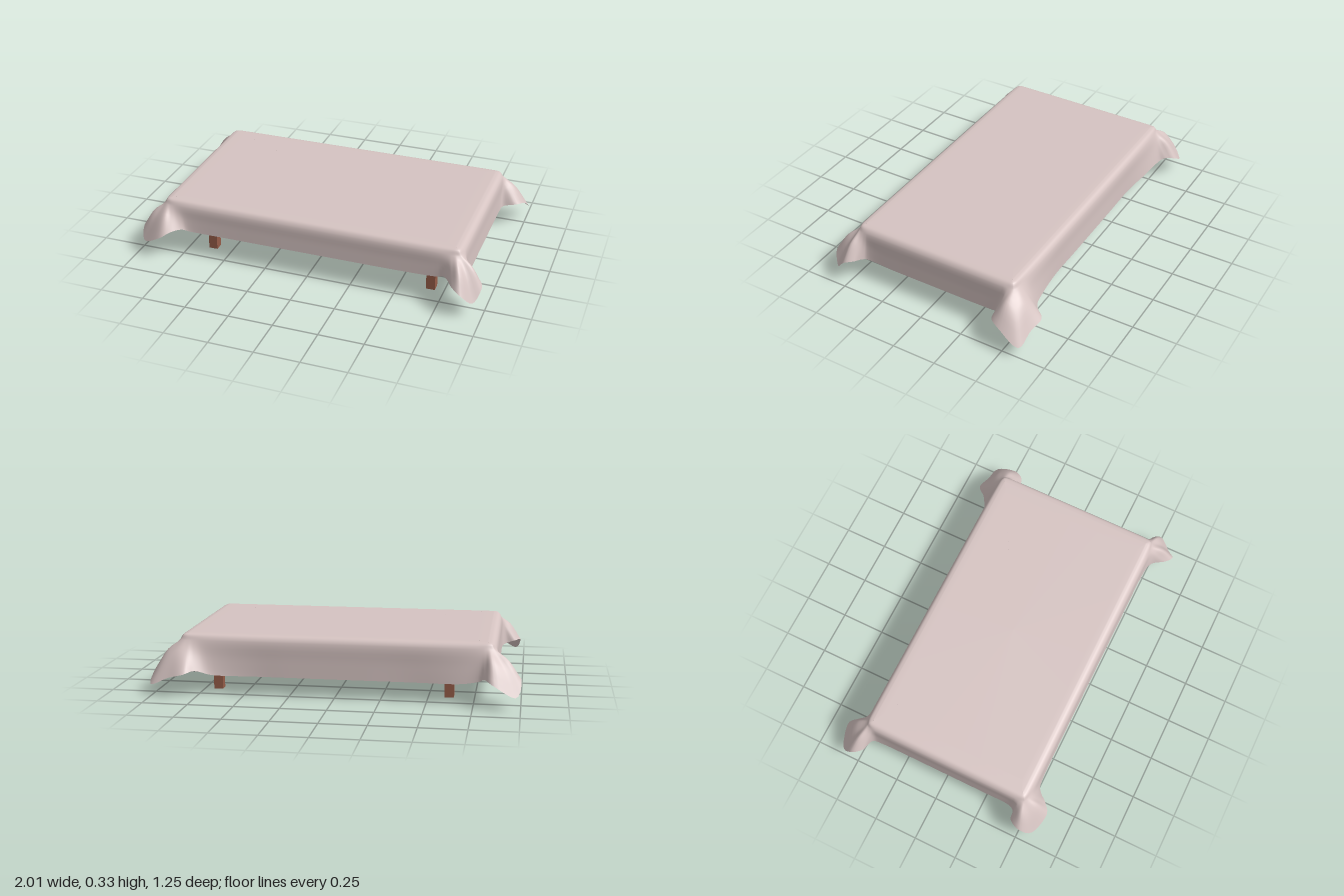
import * as THREE from 'three';

const V = (x, y, z) => new THREE.Vector3(x, y, z);

// Hem of each flared corner as [x, z, y], from the short side round to the long side
const HEMS = {
  frontLeft: [[.875, .41, .13], [.9, .445, .14], [.95, .46, .155], [.98, .51, .145], [.95, .575, .08],
    [.89, .62, .14], [.835, .59, .165], [.78, .525, .177], [.7, .505, .155]],
  frontRight: [[.875, .39, .13], [.9, .435, .14], [.95, .447, .155], [.98, .51, .15], [.95, .578, .085],
    [.84, .613, .14], [.785, .58, .17], [.74, .53, .17], [.68, .508, .153]],
  backRight: [[.875, .39, .125], [.89, .45, .14], [.96, .47, .16], [1, .53, .145], [.975, .6, .065],
    [.86, .625, .13], [.81, .58, .15], [.77, .545, .13], [.66, .525, .11]],
  backLeft: [[.875, .36, .125], [.89, .4, .14], [.96, .415, .155], [.997, .48, .14], [1, .595, .065],
    [.9, .61, .105], [.81, .625, .13], [.755, .57, .14], [.66, .528, .11]],
};
// Table edge points above the corner hem, as [x, z]
const EDGE = [[.865, .4], [.865, .435], [.863, .46], [.858, .478], [.85, .487],
  [.832, .494], [.81, .497], [.775, .498], [.69, .499]];

// Closed list of stations, each with an edge point and a hem point
function stations() {
  const list = [];
  const corner = (name, sx, sz, reverse) => {
    const part = HEMS[name].map(([x, z, y], i) => ({
      edge: V(sx * EDGE[i][0], .295, sz * EDGE[i][1]),
      hem: V(sx * x, y, sz * z),
      lift: i >= 3 && i <= 5 ? .025 : 0,
    }));
    list.push(...(reverse ? part.reverse() : part));
  };
  const longSide = (s, y) => [.45, .2, -.05, -.25, -.45].forEach(x => list.push({
    edge: V(s * x, .295, s * .499), hem: V(s * x, y, s * .503), lift: 0 }));
  const shortSide = s => [.25, .08, -.08, -.25].forEach(z => list.push({
    edge: V(s * .865, .295, -s * z), hem: V(s * .872, .12, -s * z), lift: 0 }));
  corner('frontLeft', 1, 1, false);
  longSide(1, .15);
  corner('frontRight', -1, 1, true);
  shortSide(-1);
  corner('backRight', -1, -1, false);
  longSide(-1, .105);
  corner('backLeft', 1, -1, true);
  shortSide(1);
  return list;
}

function clothGeometry() {
  const U = 240, W = 16;
  // Control rows from the flat top over the rounded edge down to the hem
  const rows = [[], [], [], [], []];
  for (const { edge, hem, lift } of stations()) {
    const top = V(THREE.MathUtils.clamp(edge.x, -.815, .815), .33,
      THREE.MathUtils.clamp(edge.z, -.455, .455));
    const round = top.clone().lerp(edge, .62).setY(.322);
    const middle = edge.clone().lerp(hem, .5);
    middle.y += lift;
    [top, round, edge, middle, hem].forEach((p, k) => rows[k].push(p));
  }
  const curves = rows.map(r => new THREE.CatmullRomCurve3(r, true, 'catmullrom', .5));
  const pos = [], index = [];
  const R = W + 3; // centre, inner top ring, then the profile
  for (let i = 0; i < U; i++) {
    const ctrl = curves.map(c => c.getPoint(i / U));
    const profile = new THREE.CatmullRomCurve3(ctrl, false, 'centripetal');
    pos.push(0, .33, 0, ctrl[0].x * .93, .33, ctrl[0].z * .93);
    for (let j = 0; j <= W; j++) pos.push(...profile.getPoint(j / W).toArray());
    for (let j = 0; j < R - 1; j++) {
      const a = i * R + j, b = ((i + 1) % U) * R + j;
      if (j > 0) index.push(a, b, a + 1);
      index.push(b, b + 1, a + 1);
    }
  }
  const geo = new THREE.BufferGeometry();
  geo.setAttribute('position', new THREE.Float32BufferAttribute(pos, 3));
  geo.setIndex(index);
  geo.computeVertexNormals();
  return geo;
}

export function createModel() {
  const model = new THREE.Group();
  model.name = 'coveredTable';
  const cloth = new THREE.MeshStandardMaterial({ color: 0xd6c4c2, side: THREE.DoubleSide });
  cloth.name = 'pale pink cloth';
  const wood = new THREE.MeshStandardMaterial({ color: 0x955c48 });
  wood.name = 'brown wood';

  // Draped tablecloth
  const tablecloth = new THREE.Mesh(clothGeometry(), cloth);
  tablecloth.name = 'tablecloth';
  model.add(tablecloth);

  // Four square legs
  const legGeo = new THREE.BoxGeometry(.05, .31, .05);
  for (const x of [-.613, .675]) for (const z of [-.36, .372]) {
    const leg = new THREE.Mesh(legGeo, wood);
    leg.name = (z > 0 ? 'front' : 'back') + (x > 0 ? 'Left' : 'Right') + 'Leg';
    leg.position.set(x, .155, z);
    model.add(leg);
  }
  return model;
}
